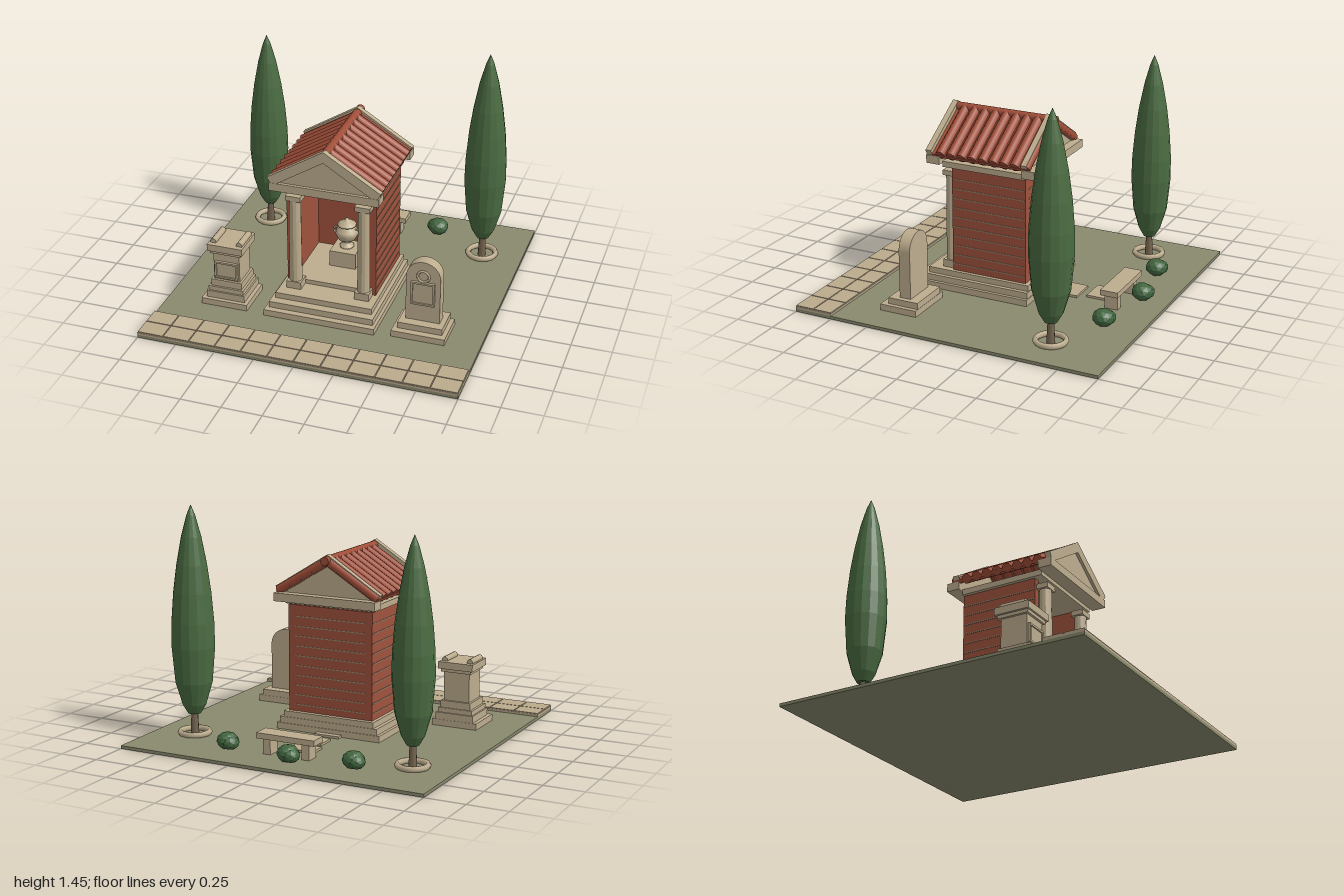
import * as THREE from 'three';

const mat = (name, color) => {
  const m = new THREE.MeshStandardMaterial({ color });
  m.name = name;
  return m;
};

export function createModel() {
  const root = new THREE.Group();
  root.name = 'gardenShrine';
  const stone = mat('stone', 0xbdad8e);
  const paving = mat('paving', 0xbbaa8c);
  const grass = mat('grass', 0x8a8a6e);
  const brick = mat('brick', 0xa0523d);
  const tile = mat('roofTile', 0xa04e38);
  const mortar = mat('mortar', 0x9a8c72);
  const leaf = mat('cypressGreen', 0x4a6b41);
  const shrub = mat('shrubGreen', 0x41663f);
  const bark = mat('bark', 0x75644f);

  const group = (name, x = 0, y = 0, z = 0) => {
    const g = new THREE.Group();
    g.name = name;
    g.position.set(x, y, z);
    root.add(g);
    return g;
  };
  const add = (parent, name, geo, m, x = 0, y = 0, z = 0) => {
    const mesh = new THREE.Mesh(geo, m);
    mesh.name = name;
    mesh.position.set(x, y, z);
    parent.add(mesh);
    return mesh;
  };
  // Box given by its minimum and maximum on each axis
  const box = (parent, name, m, x0, x1, y0, y1, z0, z1) =>
    add(parent, name, new THREE.BoxGeometry(x1 - x0, y1 - y0, z1 - z0), m,
      (x0 + x1) / 2, (y0 + y1) / 2, (z0 + z1) / 2);
  const faceted = (geo) => {
    const g = geo.index ? geo.toNonIndexed() : geo;
    g.computeVertexNormals();
    return g;
  };
  const lathe = (pts, n) => new THREE.LatheGeometry(pts.map(([r, y]) => new THREE.Vector2(r, y)), n);
  const prism = (parent, name, m, pts, z0, z1) => {
    const shape = new THREE.Shape(pts.map(([x, y]) => new THREE.Vector2(x, y)));
    return add(parent, name, new THREE.ExtrudeGeometry(shape, { depth: z1 - z0, bevelEnabled: false }), m, 0, 0, z0);
  };
  // Raised frame around a flat plate, facing +z
  const framedPanel = (parent, name, x, y, z, w, h) => {
    box(parent, name, stone, x - w / 2, x + w / 2, y - h / 2, y + h / 2, z, z + 0.008);
    for (const s of [-1, 1]) {
      box(parent, name + 'Rail', stone, x - w / 2, x + w / 2, y + s * (h / 2 - 0.006) - 0.006, y + s * (h / 2 - 0.006) + 0.006, z, z + 0.017);
      box(parent, name + 'Stile', stone, x + s * (w / 2 - 0.006) - 0.006, x + s * (w / 2 - 0.006) + 0.006, y - h / 2, y + h / 2, z, z + 0.017);
    }
  };

  // Ground and paved path
  box(root, 'ground', grass, -1, 1, 0, 0.02, -1, 1);
  const path = group('path');
  box(path, 'pathBed', paving, -1, 1, 0.02, 0.034, 0.75, 1);
  for (let i = 0; i < 12; i++) for (let j = 0; j < 2; j++) {
    const x = -1 + i / 6, z = 0.75 + j * 0.125;
    box(path, 'pathStone', paving, x + 0.003, x + 0.1637, 0.03, 0.041, z + 0.003, z + 0.122);
  }
  for (const [x0, x1, z0, z1] of [[-0.11, 0.06, -0.63, -0.51], [-0.075, 0.1, -0.46, -0.335], [-0.1, 0.07, -0.28, -0.16]])
    box(root, 'steppingStone', paving, x0, x1, 0.02, 0.034, z0, z1);

  // Stepped base and floor
  const shrine = group('shrine');
  [[0.355, 0.02, 0.06, 0.555, -0.24], [0.335, 0.06, 0.1, 0.515, -0.235], [0.31, 0.1, 0.137, 0.46, -0.23]]
    .forEach(([w, y0, y1, zf, zb]) => box(shrine, 'step', stone, -w, w, y0, y1, zb, zf));
  box(shrine, 'floor', stone, -0.245, 0.245, 0.137, 0.165, -0.16, 0.3);

  // Brick walls with thin mortar courses
  box(shrine, 'backWall', brick, -0.245, 0.245, 0.137, 0.81, -0.2, -0.16);
  for (const s of [-1, 1]) {
    const a = s * 0.245, b = s * 0.287;
    box(shrine, 'sideWall', brick, Math.min(a, b), Math.max(a, b), 0.137, 0.81, -0.2, 0.3);
  }
  for (let i = 0; i < 10; i++) {
    const y = 0.18 + i * 0.062;
    for (const s of [-1, 1])
      add(shrine, 'sideMortar', new THREE.BoxGeometry(0.006, 0.006, 0.49), mortar, s * 0.287, y, 0.05);
    add(shrine, 'backMortar', new THREE.BoxGeometry(0.48, 0.006, 0.006), mortar, 0, y, -0.2);
  }

  // Entrance columns
  for (const s of [-1, 1]) {
    const x = s * 0.22;
    box(shrine, 'columnBase', stone, x - 0.047, x + 0.047, 0.137, 0.185, 0.29, 0.382);
    add(shrine, 'columnShaft', faceted(new THREE.CylinderGeometry(0.037, 0.041, 0.565, 12)), stone, x, 0.467, 0.335);
    box(shrine, 'columnCapital', stone, x - 0.048, x + 0.048, 0.745, 0.778, 0.295, 0.375);
  }

  // Entablature and both pediments
  box(shrine, 'entablature', stone, -0.305, 0.305, 0.813, 0.85, -0.2, 0.355);
  const rake = [[0, 1.145], [-0.34, 0.934], [-0.357, 0.925], [-0.325, 0.87], [0, 1.073], [0.325, 0.87], [0.357, 0.925], [0.34, 0.934]];
  for (const [c0, c1, r0, r1, t0, t1] of [[0.355, 0.445, 0.405, 0.443, 0.37, 0.425], [-0.285, -0.2, -0.237, -0.2, -0.23, -0.2]]) {
    box(shrine, 'cornice', stone, -0.345, 0.345, 0.838, 0.89, c0, c1);
    prism(shrine, 'rakingCornice', stone, rake, r0, r1);
    prism(shrine, 'pedimentFace', stone, [[-0.31, 0.885], [0.31, 0.885], [0, 1.085]], t0, t1);
  }

  // Tiled roof
  prism(shrine, 'roofDeck', tile, [[0, 1.11], [-0.345, 0.9], [-0.337, 0.882], [0, 1.088], [0.337, 0.882], [0.345, 0.9]], -0.25, 0.405);
  const run = 0.34, rise = 0.207;
  const tileGeo = new THREE.CylinderGeometry(0.031, 0.031, Math.hypot(run, rise), 12);
  for (let i = 0; i < 9; i++) for (const s of [-1, 1])
    add(shrine, 'coverTile', tileGeo, tile, s * run / 2, 1.105 - rise / 2, 0.35 - i * 0.0715)
      .rotation.z = s * Math.atan2(run, rise);
  add(shrine, 'ridgeTile', new THREE.CylinderGeometry(0.028, 0.028, 0.7, 12), tile, 0, 1.109, 0.08).rotation.x = Math.PI / 2;

  // Wall tablet, plinth and urn inside
  framedPanel(shrine, 'tablet', 0.005, 0.64, -0.16, 0.24, 0.12);
  box(shrine, 'urnPlinth', stone, -0.085, 0.085, 0.165, 0.27, -0.08, 0.09);
  const urn = group('urn', 0, 0.27, 0);
  add(urn, 'urnBody', lathe([[0, 0], [0.045, 0], [0.045, 0.012], [0.02, 0.022], [0.02, 0.035], [0.055, 0.06], [0.072, 0.095],
    [0.068, 0.12], [0.045, 0.14], [0.045, 0.15], [0.06, 0.155], [0.058, 0.165], [0.03, 0.183], [0.012, 0.188], [0.012, 0.2], [0, 0.206]], 16), stone);
  for (const s of [-1, 1]) add(urn, 'urnHandle', new THREE.TorusGeometry(0.02, 0.006, 6, 12), stone, s * 0.068, 0.11, 0);

  // Altar on its right side
  const altar = group('altar', -0.62, 0, 0.4);
  [[0.15, 0.02, 0.06, -0.12, 0.147], [0.125, 0.06, 0.105, -0.118, 0.122], [0.115, 0.105, 0.135, -0.108, 0.112],
    [0.1, 0.135, 0.18, -0.1, 0.1], [0.085, 0.18, 0.365, -0.085, 0.085], [0.1, 0.365, 0.385, -0.1, 0.1], [0.115, 0.385, 0.43, -0.112, 0.112]]
    .forEach(([w, y0, y1, z0, z1]) => box(altar, 'altarBlock', stone, -w, w, y0, y1, z0, z1));
  framedPanel(altar, 'altarPanel', 0, 0.252, 0.085, 0.15, 0.115);
  for (const s of [-1, 1])
    add(altar, 'altarBolster', new THREE.CylinderGeometry(0.02, 0.02, 0.16, 10), stone, s * 0.085, 0.437, 0).rotation.x = Math.PI / 2;

  // Round-topped stele on its left side
  const stele = group('stele', 0.622, 0, 0);
  box(stele, 'steleBase', stone, -0.167, 0.167, 0.02, 0.06, 0.285, 0.53);
  box(stele, 'stelePlinth', stone, -0.14, 0.14, 0.06, 0.1, 0.287, 0.487);
  const arch = new THREE.Shape();
  arch.moveTo(-0.107, 0.1);
  arch.lineTo(0.107, 0.1);
  arch.lineTo(0.107, 0.4);
  arch.absarc(0, 0.4, 0.107, 0, Math.PI, false);
  add(stele, 'steleSlab', new THREE.ExtrudeGeometry(arch, { depth: 0.075, bevelEnabled: false, curveSegments: 16 }), stone, 0, 0, 0.352);
  framedPanel(stele, 'stelePanel', 0, 0.295, 0.427, 0.148, 0.155);
  add(stele, 'steleWreath', new THREE.TorusGeometry(0.036, 0.008, 6, 16), stone, 0, 0.41, 0.428);

  // Cypress trees in stone rings
  const profile = [[0, 0], [0.3, 0.005], [0.55, 0.05], [0.86, 0.16], [1, 0.33], [0.98, 0.45], [0.87, 0.59], [0.7, 0.72], [0.46, 0.85], [0.2, 0.95], [0, 1]];
  for (const [x, z, r, top] of [[-0.745, -0.595, 0.126, 1.375], [0.737, -0.585, 0.134, 1.445]]) {
    const tree = group('cypress', x, 0, z);
    add(tree, 'trunk', new THREE.CylinderGeometry(0.02, 0.027, 0.16, 8), bark, 0, 0.1, 0);
    add(tree, 'foliage', faceted(lathe(profile.map(([a, b]) => [a * r, 0.15 + b * (top - 0.15)]), 16)), leaf);
    add(tree, 'stoneRing', new THREE.TorusGeometry(0.09, 0.018, 6, 20), stone, 0, 0.037, 0).rotation.x = Math.PI / 2;
  }

  // Low bushes
  for (const [x, z] of [[-0.45, -0.765], [-0.058, -0.83], [0.39, -0.765]]) {
    const bush = group('bush', x, 0.073, z);
    for (const [r, dx, dy, dz] of [[0.068, 0, 0, 0], [0.055, -0.025, -0.005, -0.015]])
      add(bush, 'bushClump', faceted(new THREE.IcosahedronGeometry(r, 1)), shrub, dx, dy, dz).scale.y = 0.8;
  }

  // Bench behind the shrine
  const bench = group('bench');
  box(bench, 'benchSeat', stone, -0.195, 0.192, 0.115, 0.15, -0.77, -0.655);
  for (const s of [-1, 1])
    box(bench, 'benchLeg', stone, s * 0.13 - 0.025, s * 0.13 + 0.025, 0.02, 0.115, -0.755, -0.67);
  return root;
}
